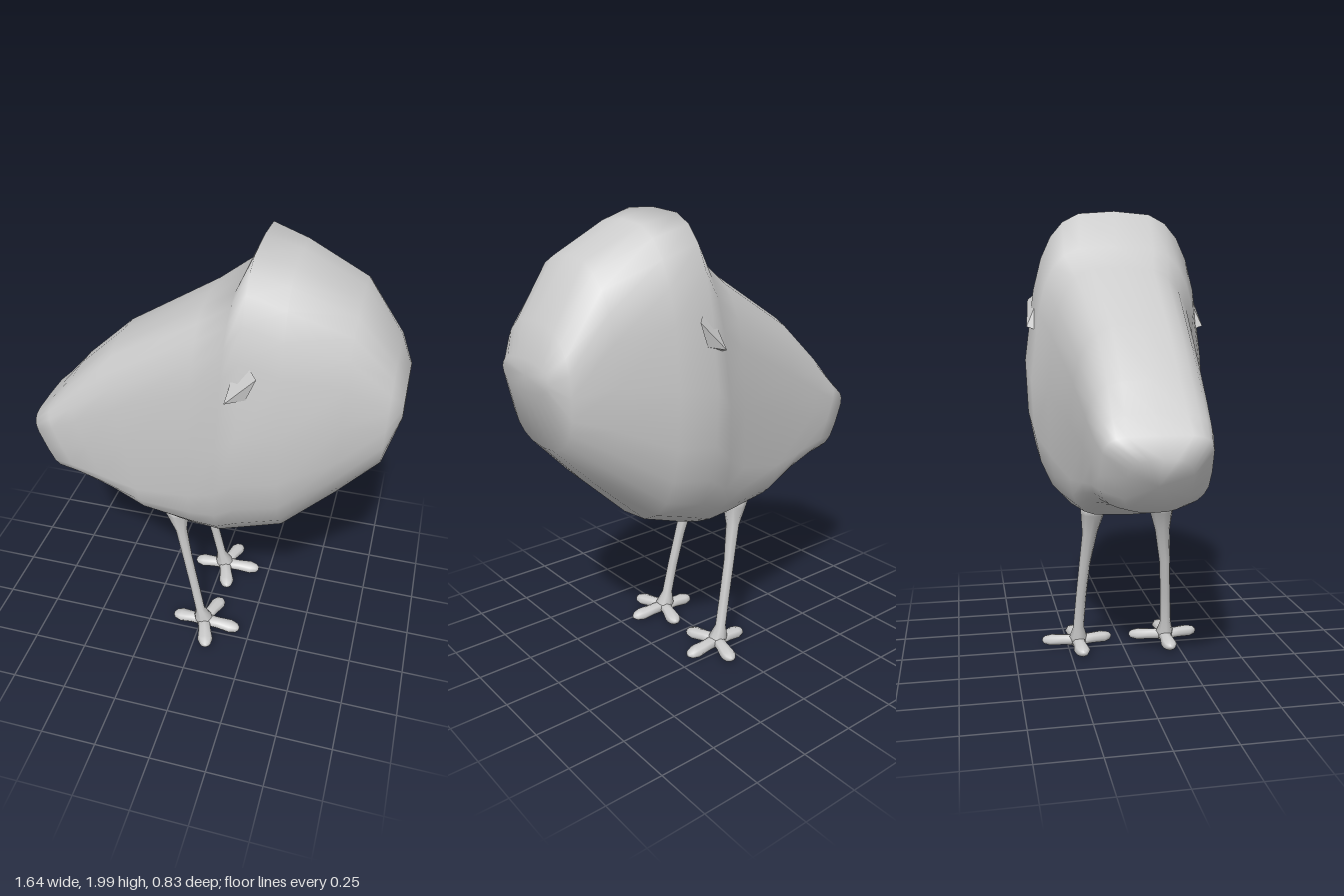
import * as THREE from 'three';
import { ConvexGeometry } from 'three/addons/geometries/ConvexGeometry.js';

const V = (x, y, z) => new THREE.Vector3(x, y, z);
const material = new THREE.MeshStandardMaterial({ color: 0xcccccc });

function part(name, geometry) {
  const mesh = new THREE.Mesh(geometry, material);
  mesh.name = name;
  return mesh;
}

// Skin a list of equal-sized rings of points and close both ends
function loft(rings) {
  const n = rings[0].length, last = rings.length - 1;
  const centre = (ring) => ring.reduce((s, p) => s.add(p), V(0, 0, 0)).divideScalar(n);
  const points = [...rings.flat(), centre(rings[0]), centre(rings[last])];
  const index = [];
  for (let j = 0; j < n; j++) {
    const k = (j + 1) % n;
    for (let i = 0; i < last; i++) {
      const a = i * n + j, b = i * n + k;
      index.push(a, b, a + n, b, b + n, a + n);
    }
    index.push(points.length - 2, k, j, points.length - 1, last * n + j, last * n + k);
  }
  const geometry = new THREE.BufferGeometry().setFromPoints(points);
  geometry.setIndex(index);
  geometry.computeVertexNormals();
  return geometry;
}

// Elliptical ring spanned by two radius vectors
function ellipse(c, u, v, sides) {
  return Array.from({ length: sides }, (_, i) => {
    const a = (i / sides) * Math.PI * 2;
    return c.clone().addScaledVector(u, Math.cos(a)).addScaledVector(v, Math.sin(a));
  });
}

// Body stations from tail to breast:
// top x, top y, bottom x, bottom y, half width, squareness above and below
const STATIONS = [
  [-0.82, 1.03, -0.67, 0.80, 0.13, 3, 3],
  [-0.77, 1.11, -0.64, 0.805, 0.215, 5, 3],
  [-0.70, 1.18, -0.55, 0.81, 0.235, 4, 4],
  [-0.60, 1.30, -0.40, 0.77, 0.25, 3.4, 5],
  [-0.39, 1.50, -0.24, 0.69, 0.275, 3.2, 5],
  [0.00, 1.74, -0.02, 0.66, 0.335, 3.4, 4],
  [0.14, 1.84, 0.10, 0.63, 0.395, 4, 2.8],
  [0.21, 2.00, 0.20, 0.655, 0.415, 3.6, 2.6],
  [0.36, 1.96, 0.38, 0.72, 0.385, 3, 2.8],
  [0.61, 1.84, 0.59, 0.92, 0.31, 2.7, 2.7],
  [0.77, 1.61, 0.76, 1.10, 0.245, 2.5, 2.5],
  [0.82, 1.47, 0.82, 1.34, 0.18, 2.2, 2.2],
];

function bodyRing([tx, ty, bx, by, half, nTop, nBottom]) {
  const sides = 24;
  const taper = Math.max(0, half - 0.25) * 1.05;
  return Array.from({ length: sides }, (_, i) => {
    const a = (i / sides) * Math.PI * 2;
    const n = Math.cos(a) > 0 ? nTop : nBottom;
    const power = (t) => Math.sign(t) * Math.abs(t) ** (2 / n);
    const t = power(Math.cos(a));
    const f = (t + 1) / 2;
    const z = half * power(Math.sin(a)) * (1 - taper * Math.max(0, t));
    return V(bx + (tx - bx) * f, by + (ty - by) * f, z);
  });
}

// Small wing stub on the flank
function wingStub(s) {
  return new ConvexGeometry([
    V(0.15, 1.46, 0.35 * s), V(0.16, 1.48, 0.41 * s), V(0.28, 1.60, 0.395 * s),
    V(0.24, 1.50, 0.39 * s), V(0.20, 1.66, 0.33 * s),
  ]);
}

// Leg stations going down: x, y, z, radius along x, radius along z
const LEG = [
  [-0.125, 0.71, 0.15, 0.07, 0.06],
  [-0.12, 0.67, 0.155, 0.055, 0.052],
  [-0.1, 0.58, 0.165, 0.027, 0.034],
  [-0.065, 0.42, 0.185, 0.023, 0.025],
  [-0.03, 0.26, 0.197, 0.023, 0.024],
  [0.00, 0.11, 0.205, 0.023, 0.025],
  [0.015, 0.06, 0.205, 0.045, 0.04],
  [0.02, 0.02, 0.205, 0.04, 0.035],
];

function leg(s) {
  return loft(LEG.map(([x, y, z, rx, rz]) => ellipse(V(x, y, z * s), V(rx, 0, 0), V(0, 0, rz), 8)));
}

// Flattened toe swelling towards its blunt tip
function toe(tipX, tipZ, s) {
  const from = V(0.02, 0.04, 0.205 * s), to = V(tipX, 0.032, tipZ * s);
  const up = V(0, 1, 0);
  const side = to.clone().sub(from).setY(0).normalize().cross(up);
  const sections = [[0, 0.025, 0.032], [0.4, 0.024, 0.03], [0.75, 0.025, 0.037], [0.93, 0.018, 0.026], [1, 0.008, 0.01]];
  return loft(sections.map(([t, h, w]) => ellipse(
    from.clone().lerp(to, t), up.clone().multiplyScalar(h), side.clone().multiplyScalar(w), 8)));
}

export function createModel() {
  const model = new THREE.Group();
  model.name = 'birdBody';
  model.add(part('body', loft(STATIONS.map(bodyRing))));

  for (const [label, s] of [['left', 1], ['right', -1]]) {
    model.add(part(label + 'WingStub', wingStub(s)));
    model.add(part(label + 'Leg', leg(s)));

    // Foot: front, outer, inner and back toes
    const foot = new THREE.Group();
    foot.name = label + 'Foot';
    foot.add(part('frontToe', toe(0.2, 0.215, s)));
    foot.add(part('outerToe', toe(0.07, 0.365, s)));
    foot.add(part('innerToe', toe(0.07, 0.045, s)));
    foot.add(part('backToe', toe(-0.135, 0.2, s)));
    model.add(foot);
  }
  return model;
}
